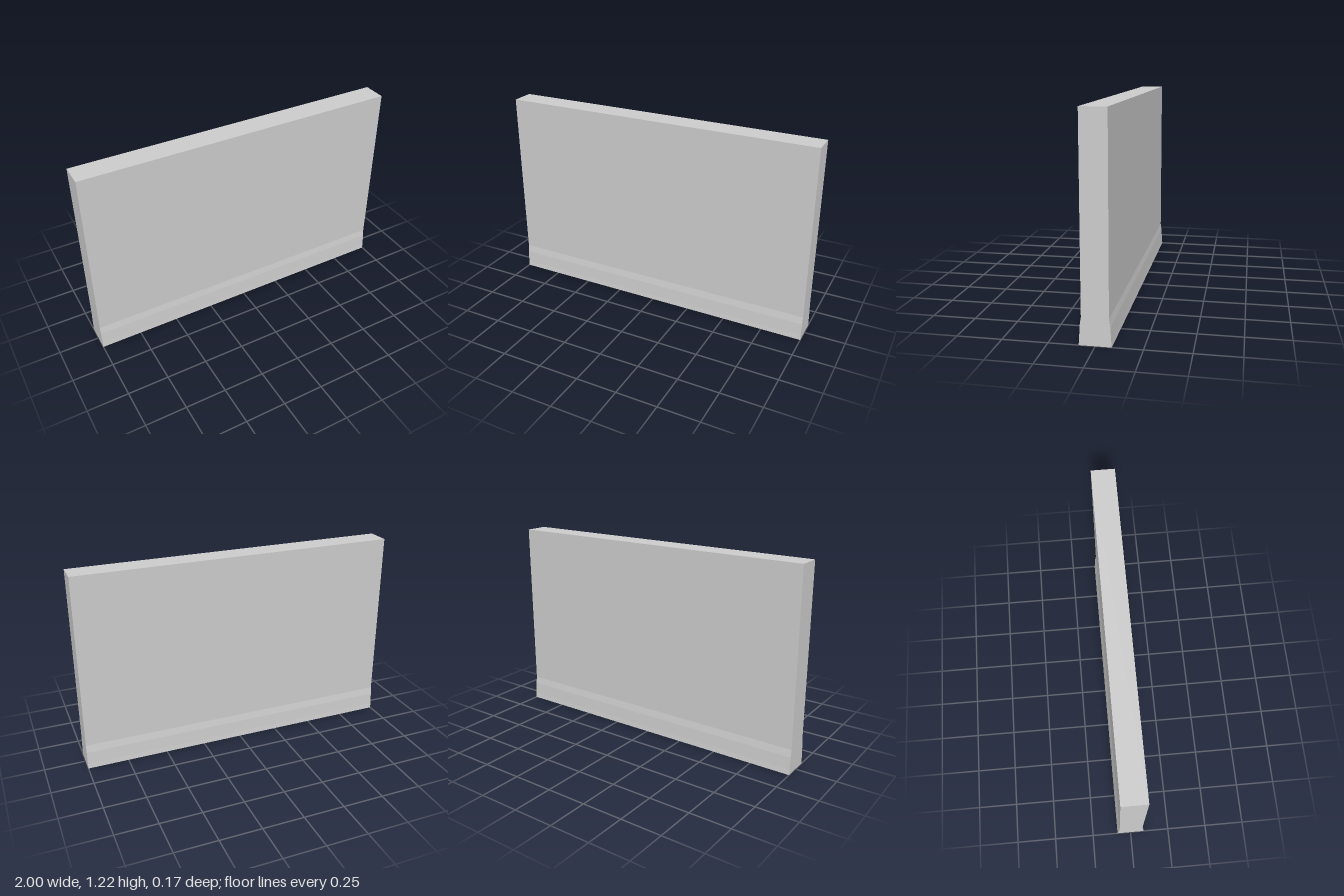
import * as THREE from 'three';

export function createModel() {
  const group = new THREE.Group();
  const material = new THREE.MeshStandardMaterial({ color: 0xcccccc, flatShading: true });

  // Half cross-section as [half thickness, height]: skirting flare, then plain wall
  const half = [[0.087, 0], [0.084, 0.03], [0.08, 0.108], [0.073, 0.153], [0.073, 1.22]];
  const points = [
    ...half.map(([z, y]) => new THREE.Vector2(z, y)),
    ...half.map(([z, y]) => new THREE.Vector2(-z, y)).reverse(),
  ];

  // Extrude the mirrored section along the wall's length
  const geometry = new THREE.ExtrudeGeometry(new THREE.Shape(points), { depth: 2, bevelEnabled: false });
  geometry.translate(0, 0, -1).rotateY(Math.PI / 2);

  const wall = new THREE.Mesh(geometry, material);
  wall.name = 'wallWithSkirting';
  group.add(wall);
  return group;
}
